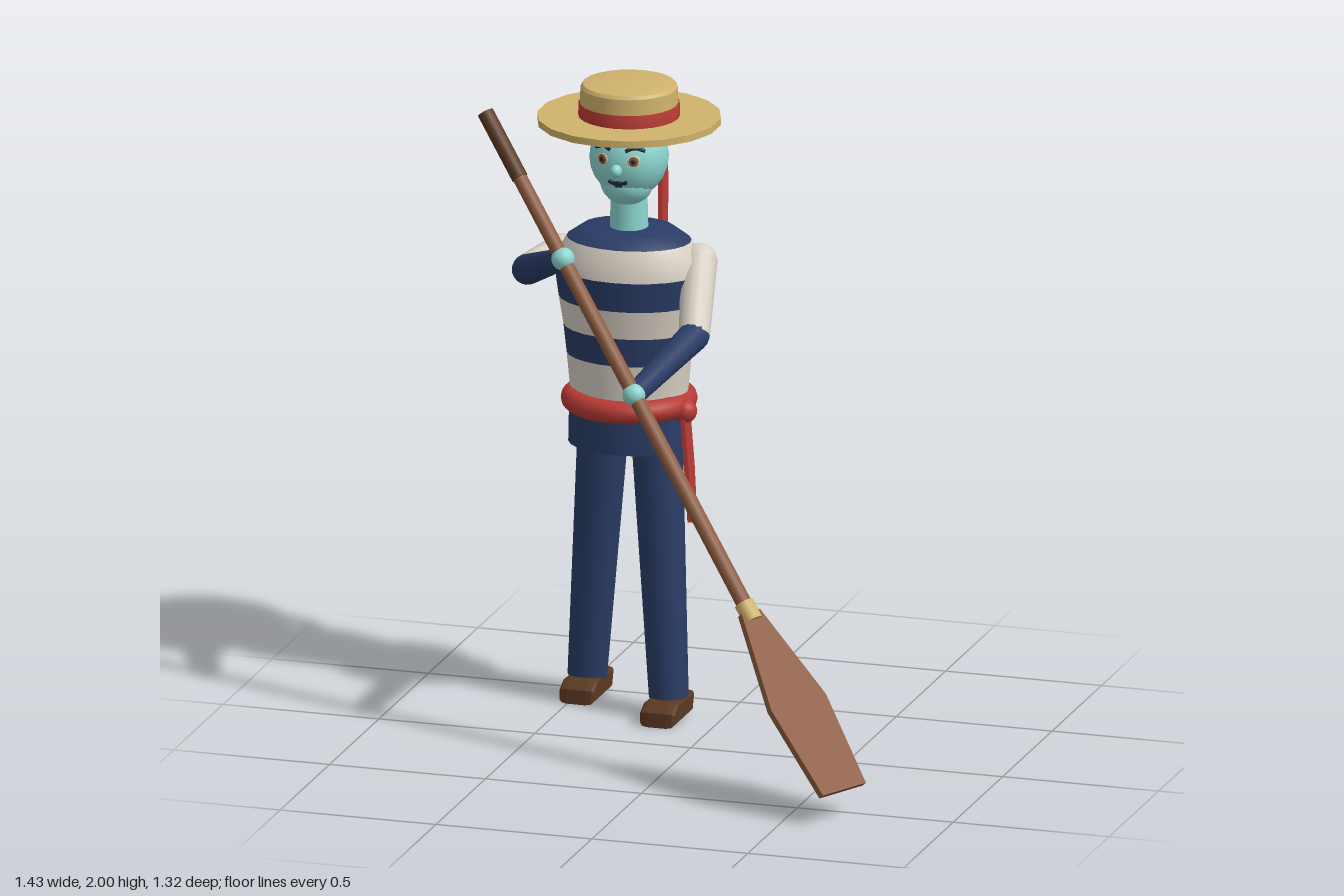
import * as THREE from 'three';

const mat = (name, color, side = THREE.FrontSide) => {
  const m = new THREE.MeshStandardMaterial({ color, side });
  m.name = name;
  return m;
};
const V = (x, y, z) => new THREE.Vector3(x, y, z);
const UP = V(0, 1, 0);
const CX = -0.315, CZ = -0.37; // body axis

export function createModel() {
  const root = new THREE.Group();
  root.name = 'boatman';
  const skin = mat('skin', 0x8cd6d0);
  const navy = mat('navy', 0x2a3c66);
  const cream = mat('cream', 0xd8d0c4);
  const red = mat('red', 0xb83a34);
  const straw = mat('straw', 0xd0b36c);
  const wood = mat('wood', 0x8c5a3e);
  const darkWood = mat('dark brown', 0x5a3821);
  const ink = mat('ink', 0x1d2030);
  const amber = mat('eye brown', 0x8a5526);

  const add = (name, geo, material, pos = V(0, 0, 0), parent = root) => {
    const m = new THREE.Mesh(geo, material);
    m.name = name;
    m.position.copy(pos);
    parent.add(m);
    return m;
  };
  const ball = (name, material, pos, rx, ry = rx, rz = rx) =>
    add(name, new THREE.SphereGeometry(1, 18, 12).scale(rx, ry, rz), material, pos);
  // tapered rod from a to b
  const rod = (name, material, a, b, ra, rb, sides = 14) => {
    const d = b.clone().sub(a);
    const m = add(name, new THREE.CylinderGeometry(rb, ra, d.length(), sides), material,
      a.clone().lerp(b, 0.5));
    m.quaternion.setFromUnitVectors(UP, d.normalize());
    return m;
  };
  const lathe = (name, material, pts, depth = 1, sides = 24) =>
    add(name, new THREE.LatheGeometry(pts.map(p => new THREE.Vector2(...p)), sides).scale(1, 1, depth),
      material, V(CX, 0, CZ));
  // thin cloth strip: outline given as [-z, y], leaning in x as it hangs
  const strip = (name, outline, x, lean) => {
    const shape = new THREE.Shape(outline.map(p => new THREE.Vector2(...p)));
    const geo = new THREE.ExtrudeGeometry(shape, { depth: 0.014, bevelEnabled: false });
    geo.rotateY(Math.PI / 2);
    const p = geo.attributes.position, top = outline[0][1];
    for (let i = 0; i < p.count; i++) p.setX(i, p.getX(i) + x + lean * (top - p.getY(i)));
    geo.computeVertexNormals();
    add(name, geo, red);
  };

  // Striped jersey
  const bands = [
    [[0.185, 0.98], [0.186, 1.03], [0.195, 1.125]],
    [[0.195, 1.125], [0.205, 1.215]],
    [[0.205, 1.215], [0.22, 1.305]],
    [[0.22, 1.305], [0.233, 1.4]],
    [[0.233, 1.4], [0.225, 1.45], [0.195, 1.495]],
    [[0.195, 1.495], [0.145, 1.53], [0, 1.535]],
  ];
  bands.forEach((b, i) => lathe('jerseyStripe' + (i + 1), i % 2 ? navy : cream, b, 0.76));

  // Hips and sash
  lathe('hips', navy, [[0, 0.84], [0.188, 0.84], [0.19, 0.84], [0.187, 0.98]], 0.76);
  const sash = add('sash', new THREE.TorusGeometry(0.172, 0.036, 12, 32).rotateX(Math.PI / 2), red,
    V(CX, 0.985, CZ));
  sash.scale.set(1.01, 1, 0.98);
  ball('sashKnot', red, V(-0.12, 0.972, -0.322), 0.037);
  strip('sashTail', [[0.292, 0.97], [0.282, 0.8], [0.264, 0.635], [0.32, 0.635], [0.345, 0.8], [0.355, 0.97]],
    -0.128, 0.1);

  // Legs and shoes
  const shoeSide = new THREE.Shape([[-0.1, 0.01], [0.085, 0.01], [0.1, 0.055], [-0.06, 0.06], [-0.1, 0.04]]
    .map(p => new THREE.Vector2(...p)));
  const legs = [
    ['right', V(-0.403, 0.92, -0.395), V(-0.472, 0.065, -0.443), -0.435],
    ['left', V(-0.218, 0.92, -0.34), V(-0.163, 0.065, -0.292), -0.275],
  ];
  for (const [side, hip, ankle, shoeZ] of legs) {
    rod(side + 'Leg', navy, ankle, hip, 0.061, 0.08, 16);
    const geo = new THREE.ExtrudeGeometry(shoeSide, {
      depth: 0.06, bevelThickness: 0.025, bevelSize: 0.01, bevelSegments: 2,
    });
    geo.translate(0, 0, -0.03).rotateY(Math.PI / 2);
    add(side + 'Shoe', geo, darkWood, V(ankle.x, 0, shoeZ));
  }

  // Arms reaching for the oar
  const arms = [
    ['right', V(-0.53, 1.43, -0.37), V(-0.585, 1.42, -0.19), V(-0.395, 1.54, 0.047)],
    ['left', V(-0.095, 1.435, -0.385), V(-0.052, 1.255, -0.2), V(-0.124, 1.17, 0.183)],
  ];
  for (const [side, shoulder, elbow, hand] of arms) {
    ball(side + 'Shoulder', cream, shoulder, 0.056);
    rod(side + 'UpperArm', cream, shoulder, elbow, 0.056, 0.048);
    ball(side + 'Elbow', navy, elbow, 0.047);
    rod(side + 'Forearm', navy, elbow, hand, 0.048, 0.034);
    ball(side + 'Hand', skin, hand, 0.036);
  }

  // Neck and head
  rod('neck', skin, V(CX, 1.51, CZ), V(CX, 1.66, CZ), 0.06, 0.056, 18);
  ball('head', skin, V(CX, 1.757, CZ), 0.122, 0.13, 0.122);
  ball('jaw', skin, V(CX, 1.68, -0.35), 0.083, 0.072, 0.08);

  // Face, laid onto the head surface
  const onFace = (dx, dy, out = 0) => V(CX + dx, 1.757 + dy,
    CZ + out + 0.122 * Math.sqrt(1 - (dx / 0.122) ** 2 - (dy / 0.13) ** 2));
  const patch = (name, material, dx, dy, rx, ry, out) => {
    const m = ball(name, material, onFace(dx, dy, out), rx, ry, 0.004);
    m.rotation.y = Math.asin(dx / 0.122);
  };
  const stroke = (name, pts, r) => add(name, new THREE.TubeGeometry(
    new THREE.CatmullRomCurve3(pts.map(p => onFace(p[0], p[1], 0.003))), 12, r, 6), ink);
  for (const s of [-1, 1]) {
    const side = s < 0 ? 'right' : 'left';
    patch(side + 'EyeWhite', cream, s * 0.05, 0.017, 0.021, 0.018, 0);
    patch(side + 'Iris', amber, s * 0.05, 0.017, 0.015, 0.016, 0.003);
    patch(side + 'Pupil', ink, s * 0.05, 0.017, 0.007, 0.008, 0.006);
    stroke(side + 'Brow', [[s * 0.023, 0.047], [s * 0.05, 0.056], [s * 0.078, 0.046]], 0.006);
  }
  ball('nose', skin, onFace(0, -0.012, 0.012), 0.018, 0.02, 0.022);
  stroke('mouth', [[-0.03, -0.052], [-0.012, -0.058], [0, -0.056], [0.012, -0.058], [0.03, -0.052]], 0.006);
  stroke('lowerLip', [[-0.012, -0.068], [0.012, -0.068]], 0.004);

  // Straw hat
  add('hatBrim', new THREE.CylinderGeometry(0.283, 0.283, 0.022, 18), straw, V(CX, 1.876, CZ));
  lathe('hatCrown', straw, [[0.152, 1.885], [0.149, 1.978], [0.149, 1.978], [0.142, 1.988],
    [0.142, 1.988], [0.08, 1.997], [0, 2]]);
  lathe('hatBand', red, [[0.156, 1.885], [0.155, 1.928], [0.148, 1.928]]);
  strip('hatRibbon', [[0.515, 1.9], [0.535, 1.8], [0.54, 1.68], [0.51, 1.49],
    [0.565, 1.485], [0.592, 1.62], [0.6, 1.77], [0.555, 1.905]], -0.287, 0.05);

  // Oar
  const top = V(-0.69, 1.938, -0.1), socket = V(0.32, 0.57, 0.405);
  const at = t => top.clone().lerp(socket, t);
  rod('oarGrip', darkWood, top, at(0.13), 0.026, 0.026, 12);
  rod('oarShaft', wood, at(0.13), socket, 0.023, 0.025, 12);
  rod('oarCollar', straw, at(0.975), at(1.01), 0.031, 0.031, 12);
  const half = [[0.04, -0.01], [0.12, 0.31], [0.094, 0.617]];
  const outline = [...half, ...half.map(([w, l]) => [-w, l]).reverse()];
  const blade = add('oarBlade', new THREE.ExtrudeGeometry(
    new THREE.Shape(outline.map(p => new THREE.Vector2(...p))), { depth: 0.02, bevelEnabled: false })
    .translate(0, 0, -0.01), wood, socket);
  const along = socket.clone().sub(top).normalize();
  const across = V(along.z, 0, -along.x).normalize();
  blade.quaternion.setFromRotationMatrix(
    new THREE.Matrix4().makeBasis(across, along, across.clone().cross(along)));

  return root;
}
